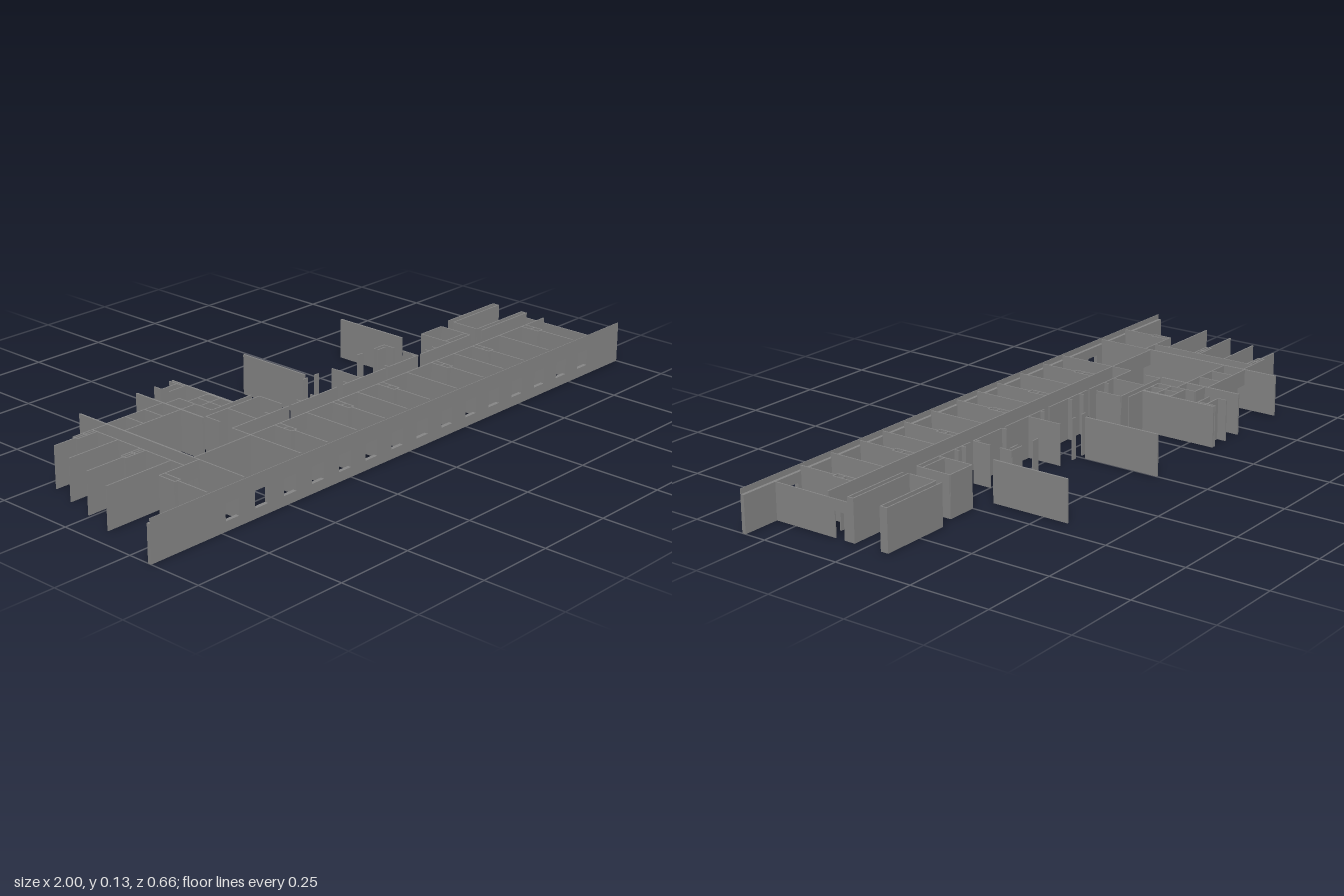
import * as THREE from 'three';

const H = 0.128;   // wall height
const LOW = 0.112; // height of the lower walls
const T = 0.004;   // partition thickness
const DOOR = 0.078;

export function createModel() {
  const model = new THREE.Group();
  const mat = new THREE.MeshStandardMaterial({ color: 0x868686, flatShading: true });

  function group(name) {
    const g = new THREE.Group();
    g.name = name;
    model.add(g);
    return g;
  }

  // Box given by its two opposite corners
  function block(parent, name, x1, x2, y1, y2, z1, z2) {
    const m = new THREE.Mesh(new THREE.BoxGeometry(x2 - x1, y2 - y1, z2 - z1), mat);
    m.position.set((x1 + x2) / 2, (y1 + y2) / 2, (z1 + z2) / 2);
    m.name = name;
    parent.add(m);
  }

  // Walls running along x and along z
  const wallX = (p, name, x1, x2, z) => block(p, name, x1, x2, 0, H, z - T / 2, z + T / 2);
  const wallZ = (p, name, x, z1, z2, t = T, h = H) => block(p, name, x - t / 2, x + t / 2, 0, h, z1, z2);

  // Wall along x with doors at the given centres
  function doorWallX(p, name, x1, x2, z, doors) {
    let start = x1;
    for (const d of doors) {
      wallX(p, name, start, d - 0.02, z);
      block(p, 'doorLintel', d - 0.02, d + 0.02, DOOR, H, z - T / 2, z + T / 2);
      start = d + 0.02;
    }
    wallX(p, name, start, x2, z);
  }

  // Four thin walls around a rectangle
  function shaft(p, name, x1, x2, z1, z2) {
    wallX(p, name, x1, x2, z1);
    wallX(p, name, x1, x2, z2);
    wallZ(p, name, x1, z1, z2);
    wallZ(p, name, x2, z1, z2);
  }

  // Facade: thick wall and taller outer skin, both pierced by windows
  function facade(name, height, depth, z) {
    const s = new THREE.Shape();
    s.moveTo(-1, 0).lineTo(1, 0).lineTo(1, height).lineTo(-1, height).closePath();
    for (let i = 0; i < 15; i++) {
      const c = -0.711 + i * 0.109, w = 0.0245;
      const hole = new THREE.Path();
      hole.moveTo(c - w, 0.03).lineTo(c - w, 0.081).lineTo(c + w, 0.081).lineTo(c + w, 0.03).closePath();
      s.holes.push(hole);
    }
    const m = new THREE.Mesh(new THREE.ExtrudeGeometry(s, { depth, bevelEnabled: false }), mat);
    m.position.z = z;
    m.name = name;
    model.add(m);
  }
  facade('facadeWall', LOW, 0.010, 0.318);
  facade('facadeSkin', H, 0.002, 0.328);

  // Corridor wall with doors beside the room partitions
  const corridor = group('corridorWall');
  doorWallX(corridor, 'corridorPanel', -0.655, 0.877, 0.13,
    [-0.632, -0.415, -0.24, -0.195, -0.024, 0.024, 0.193, 0.238, 0.41, 0.457, 0.625, 0.677, 0.853]);

  // Corridor end with a door, lower than the other walls
  wallZ(corridor, 'corridorEnd', 0.877, 0.06, 0.075, T, LOW);
  wallZ(corridor, 'corridorEnd', 0.877, 0.107, 0.13, T, LOW);
  block(corridor, 'endLintel', 0.875, 0.879, DOOR, LOW, 0.075, 0.107);

  // Partitions between the front rooms
  const rooms = group('roomPartitions');
  for (const x of [-0.655, -0.44, -0.217, -0.003, 0.215, 0.433, 0.652]) {
    wallZ(rooms, 'partition', x, 0.13, 0.32);
  }
  wallZ(rooms, 'endPartition', 0.877, 0.13, 0.32, T, LOW);
  for (const x of [-0.335, -0.1, 0.095, 0.337, 0.53, 0.775]) {
    wallZ(rooms, 'partition', x, 0.195, 0.32);
    shaft(rooms, 'ductShaft', x - 0.01, x + 0.01, 0.13, 0.195);
    wallX(rooms, 'ductDivider', x - 0.01, x + 0.01, 0.165);
  }
  wallZ(rooms, 'cornerPartition', -0.79, 0.21, 0.32);
  shaft(rooms, 'ductShaft', -0.8, -0.78, 0.15, 0.21);

  // Inner corridor wall with short stubs
  const inner = group('innerWall');
  for (const [a, b] of [[-0.44, -0.215], [-0.207, -0.012], [0.012, 0.2], [0.215, 0.345], [0.36, 0.5]]) {
    wallX(inner, 'innerPanel', a, b, 0.06);
  }
  for (const x of [-0.295, -0.165, -0.107, 0.032, 0.09, 0.215, 0.337, 0.4, 0.433]) {
    wallZ(inner, 'stub', x, 0.043, 0.06);
  }

  // Core rooms: [x1, x2, z] along x, [x, z1, z2] along z
  const core = group('coreWalls');
  for (const [a, b, z] of [
    [-0.43, -0.217, -0.055], [-0.385, -0.225, -0.078], [-0.035, -0.015, -0.055],
    [0.015, 0.032, -0.055], [0.225, 0.25, -0.075], [0.3, 0.347, -0.075], [0.3, 0.335, -0.06],
  ]) wallX(core, 'coreWall', a, b, z);
  for (const [x, a, b] of [
    [-0.43, -0.055, 0], [-0.345, -0.055, 0.06], [-0.217, -0.055, 0.033],
    [0.09, -0.055, 0.06], [0.347, -0.075, -0.035], [0.347, 0, 0.06],
  ]) wallZ(core, 'coreWall', x, a, b);

  // Stair shaft on the left
  shaft(core, 'stairShaft', 0.5, 0.595, -0.055, 0.06);
  wallX(core, 'stairLining', 0.5, 0.595, 0.04);

  // Left end room with double walls
  const endRoom = group('endRoom');
  for (const z of [-0.073, -0.052, 0.042, 0.06]) wallX(endRoom, 'doubleWall', 0.652, 0.877, z);
  wallZ(endRoom, 'endCap', 0.877, -0.075, -0.05);
  wallZ(endRoom, 'endCap', 0.877, 0.04, 0.062);
  wallZ(endRoom, 'endRoomWall', 0.652, -0.05, 0);
  block(endRoom, 'sill', 0.65, 0.654, 0, 0.025, 0, 0.037);
  block(endRoom, 'lintel', 0.65, 0.654, DOOR, H, 0, 0.037);

  // Long cross walls at the back
  const back = group('backWalls');
  for (const [x, a, b] of [
    [-0.655, -0.33, 0.13], [-0.44, -0.33, -0.055], [-0.3, -0.33, -0.078],
    [-0.003, -0.33, -0.078], [0.433, -0.33, -0.078],
  ]) wallZ(back, 'crossWall', x, a, b, 0.006);
  wallZ(back, 'crossWall', -0.44, 0.06, 0.13);

  // Service rooms behind the right wing
  const service = group('serviceRooms');
  doorWallX(service, 'serviceWall', -0.655, -0.44, -0.22, [-0.632]);
  doorWallX(service, 'serviceWall', -0.655, -0.385, -0.145, [-0.632]);
  for (const [a, b, z] of [
    [-0.44, -0.385, -0.21], [-0.385, -0.3, -0.175], [-0.385, -0.305, -0.125],
    [-0.37, -0.305, -0.3], [-0.37, -0.305, -0.27],
  ]) wallX(service, 'serviceWall', a, b, z);
  for (const [x, a, b] of [
    [-0.583, -0.22, -0.145], [-0.51, -0.22, -0.145], [-0.385, -0.21, -0.078],
    [-0.347, -0.175, -0.078], [-0.305, -0.175, -0.078],
    [-0.37, -0.33, -0.3], [-0.31, -0.33, -0.27],
  ]) wallZ(service, 'serviceWall', x, a, b);

  // Low curb around the floor opening in the right hall
  const curb = group('floorCurb');
  for (const z of [-0.06, 0.036]) block(curb, 'curbSide', -0.598, -0.498, 0, 0.016, z - 0.004, z + 0.004);
  for (const x of [-0.594, -0.502]) block(curb, 'curbSide', x - 0.004, x + 0.004, 0, 0.016, -0.06, 0.036);

  // Right wing: spine wall, partitions of growing length and their ducts
  const wing = group('rightWing');
  wallZ(wing, 'wingSpine', -0.71, -0.215, 0.15);
  doorWallX(wing, 'wingEnd', -0.71, -0.655, -0.215, [-0.68]);
  doorWallX(wing, 'wingEnd', -0.8, -0.655, 0.15, [-0.68]);
  for (const [x, z] of [[-0.855, -0.205], [-0.885, -0.11], [-0.91, -0.01], [-0.94, 0.1]]) {
    wallX(wing, 'wingPartition', x, -0.71, z);
  }
  for (const z of [-0.205, -0.01]) {
    shaft(wing, 'wingDuct', -0.78, -0.71, z - 0.01, z + 0.01);
    wallZ(wing, 'ductDivider', -0.745, z - 0.01, z + 0.01);
  }
  return model;
}
